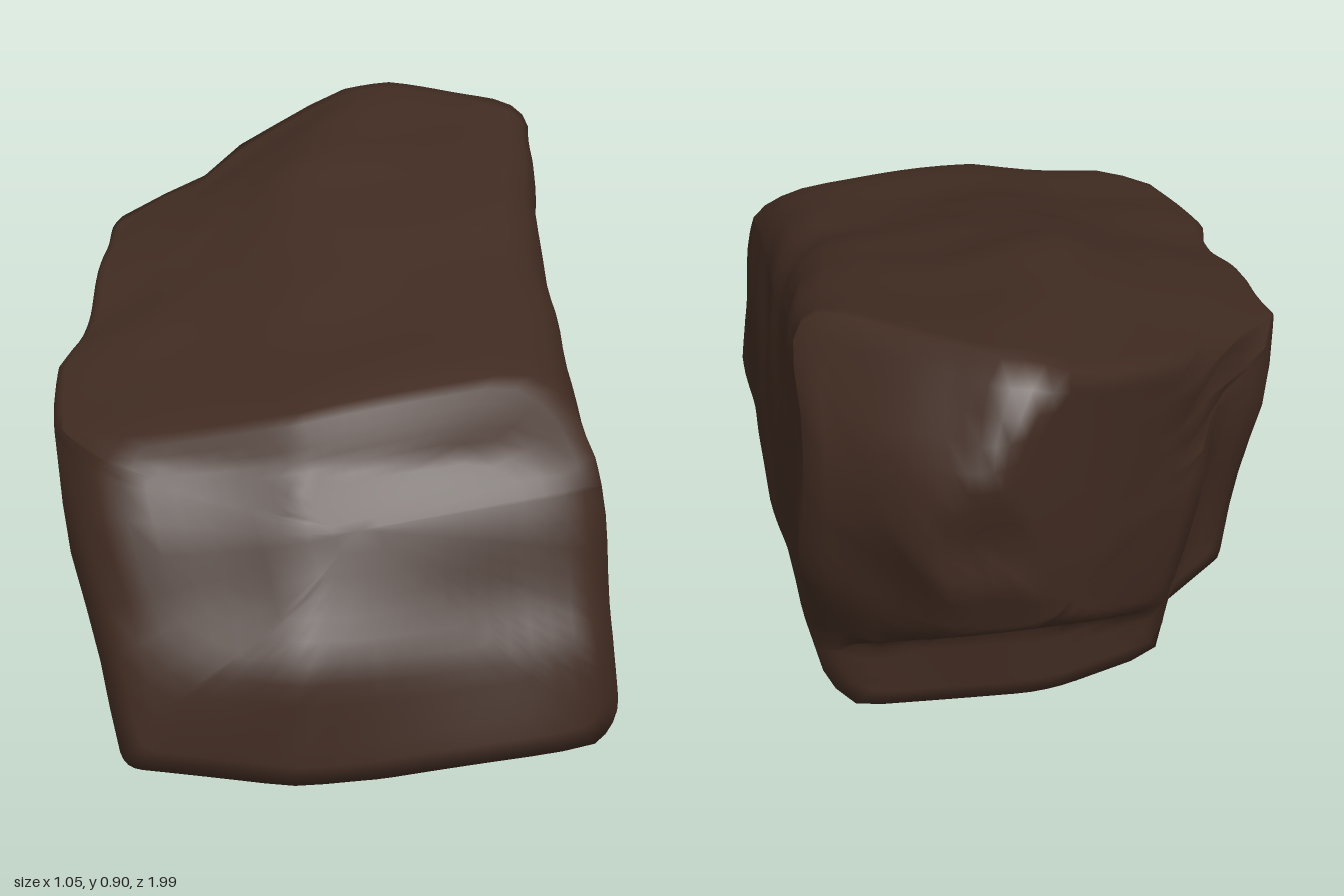
import * as THREE from 'three';
import { mergeVertices } from 'three/addons/utils/BufferGeometryUtils.js';

// Piecewise linear lookup through [key, value] pairs
function curve(pairs) {
  return (k) => {
    if (k <= pairs[0][0]) return pairs[0][1];
    for (let i = 1; i < pairs.length; i++) {
      const [k0, v0] = pairs[i - 1], [k1, v1] = pairs[i];
      if (k <= k1) return v0 + ((v1 - v0) * (k - k0)) / (k1 - k0);
    }
    return pairs[pairs.length - 1][1];
  };
}

// Front face: z by height, then set back towards the sides
const frontByY = curve([[0.02, 1], [0.2, 0.97], [0.3, 0.92], [0.42, 0.87], [0.52, 0.81], [0.6, 0.7], [0.66, 0.62]]);
const frontSetback = curve([[-0.52, 0.28], [-0.48, 0.14], [-0.38, 0.05], [-0.05, 0], [0.4, 0.09], [0.48, 0.12], [0.52, 0.18]]);
const frontZ = (x, y) => frontByY(y) - frontSetback(x);

// Back face: undercut by height, cut away diagonally on the right-hand side (more so low down),
// with the left-hand corner bevelled by an amount that changes with height
const backByY = curve([[0.06, -0.69], [0.23, -0.7], [0.29, -0.8], [0.38, -0.93], [0.5, -0.97], [0.56, -0.955], [0.72, -1], [0.82, -0.97], [0.9, -0.9]]);
const backByX = curve([[-0.47, -0.34], [-0.41, -0.48], [-0.28, -0.56], [-0.24, -0.69], [-0.02, -0.88], [0.2, -1], [0.36, -0.96], [0.45, -0.86], [0.5, -0.78]]);
const lowCut = curve([[0.1, 0.08], [0.5, 0]]);
const backBevel = curve([[0.06, 1.11], [0.25, 1.16], [0.4, 1.23], [0.6, 1.29], [0.72, 1.26], [0.83, 1.15], [0.9, 1.08]]);
const backZ = (x, y) => Math.max(backByY(y), backByX(x - lowCut(y)), x - backBevel(y));

// Corners of the cross-section along the length, t = 0 front to 1 back
const topLow = curve([[0, 0.53], [0.2, 0.55], [0.4, 0.575], [0.6, 0.61], [0.8, 0.645], [1, 0.66]]);
const topRidge = curve([[0, 0.59], [0.2, 0.675], [0.4, 0.755], [0.6, 0.835], [0.8, 0.865], [1, 0.905]]);
const topHigh = curve([[0, 0.635], [0.2, 0.69], [0.4, 0.755], [0.6, 0.81], [0.8, 0.855], [1, 0.885]]);
const topHighX = curve([[0, 0.455], [0.4, 0.465], [0.7, 0.49], [1, 0.505]]);
const topRound = curve([[0, 0.14], [0.6, 0.14], [1, 0.09]]);
const ridgeX = curve([[0, -0.05], [0.6, -0.04], [1, 0.14]]);
const lowX = curve([[0, -0.51], [0.2, -0.53], [0.4, -0.495], [1, -0.475]]);
const floorMid = curve([[0, 0], [0.6, 0.015], [1, 0.06]]);
const floorRight = curve([[0, 0.015], [0.5, 0.025], [0.8, 0.09], [1, 0.19]]);
const floorLeft = curve([[0, 0.02], [0.6, 0.03], [1, 0.08]]);
const floorLeftX = curve([[0, 0.525], [0.5, 0.52], [1, 0.48]]);
const floorRound = curve([[0, 0.05], [0.5, 0.07], [1, 0.11]]);

// Closed outline with rounded corners and evenly divided edges
function section(t) {
  const corners = [
    [-0.36, floorRight(t), 0.03], [0.05, floorMid(t), 0.06], [floorLeftX(t), floorLeft(t), floorRound(t)],
    [0.505, 0.35, 0.1], [topHighX(t), topHigh(t), topRound(t)], [ridgeX(t), topRidge(t), 0.08], [lowX(t), topLow(t), 0.03],
  ].map(([x, y, r]) => ({ p: new THREE.Vector2(x, y), r }));
  const n = corners.length;
  const arcs = corners.map(({ p, r }, i) => {
    const towards = (q) => p.clone().add(q.clone().sub(p).setLength(r));
    return new THREE.QuadraticBezierCurve(
      towards(corners[(i + n - 1) % n].p), p, towards(corners[(i + 1) % n].p)).getPoints(4);
  });
  const points = [];
  arcs.forEach((arc, i) => {
    points.push(...arc);
    const next = arcs[(i + 1) % n][0];
    for (let k = 1; k < 6; k++) points.push(arc[4].clone().lerp(next, k / 6));
  });
  return points;
}

// Gentle dents across the stone
function dent(x, y, z) {
  return 0.006 * Math.sin(9 * x + 5 * z + 1) * Math.sin(11 * y - 4 * z)
    + 0.004 * Math.sin(17 * z + 8 * x) * Math.cos(14 * y + 6 * x);
}

function rockGeometry() {
  // Rows run from the middle of the front, along the body, to the middle of the back
  const rows = [];
  const CAP = 12, BODY = 24;
  for (let i = 0; i < CAP; i++) rows.push([0, i / CAP]);
  for (let i = 0; i <= BODY; i++) rows.push([i / BODY, 1]);
  for (let i = CAP - 1; i >= 0; i--) rows.push([1, i / CAP]);

  const positions = [], index = [];
  let count = 0;
  rows.forEach(([t, s]) => {
    const outline = section(t);
    count = outline.length;
    outline.forEach((p) => {
      const x = 0.05 + (p.x - 0.05) * s;
      const y = 0.42 + (p.y - 0.42) * s;
      const z = THREE.MathUtils.lerp(frontZ(x, y), backZ(x, y), t);
      const d = dent(x, y, z);
      positions.push(x + d * Math.sign(x) * Math.min(1, Math.abs(x) * 3), Math.max(0, y + d), z + d * (1 - 2 * t));
    });
  });
  for (let i = 0; i < rows.length - 1; i++) {
    for (let j = 0; j < count; j++) {
      const k = (j + 1) % count;
      const a = i * count + j, b = i * count + k, c = a + count, d = b + count;
      if (i > 0) index.push(a, c, b);
      if (i < rows.length - 2) index.push(b, c, d);
    }
  }
  let geometry = new THREE.BufferGeometry();
  geometry.setAttribute('position', new THREE.Float32BufferAttribute(positions, 3));
  geometry.setIndex(index);
  geometry = mergeVertices(geometry, 1e-4);
  geometry.computeVertexNormals();
  return geometry;
}

export function createModel() {
  const group = new THREE.Group();
  group.name = 'rock';
  const darkBrownStone = new THREE.MeshStandardMaterial({ color: 0x402b21 });
  darkBrownStone.name = 'darkBrownStone';
  const boulder = new THREE.Mesh(rockGeometry(), darkBrownStone);
  boulder.name = 'boulder';
  group.add(boulder);
  return group;
}
